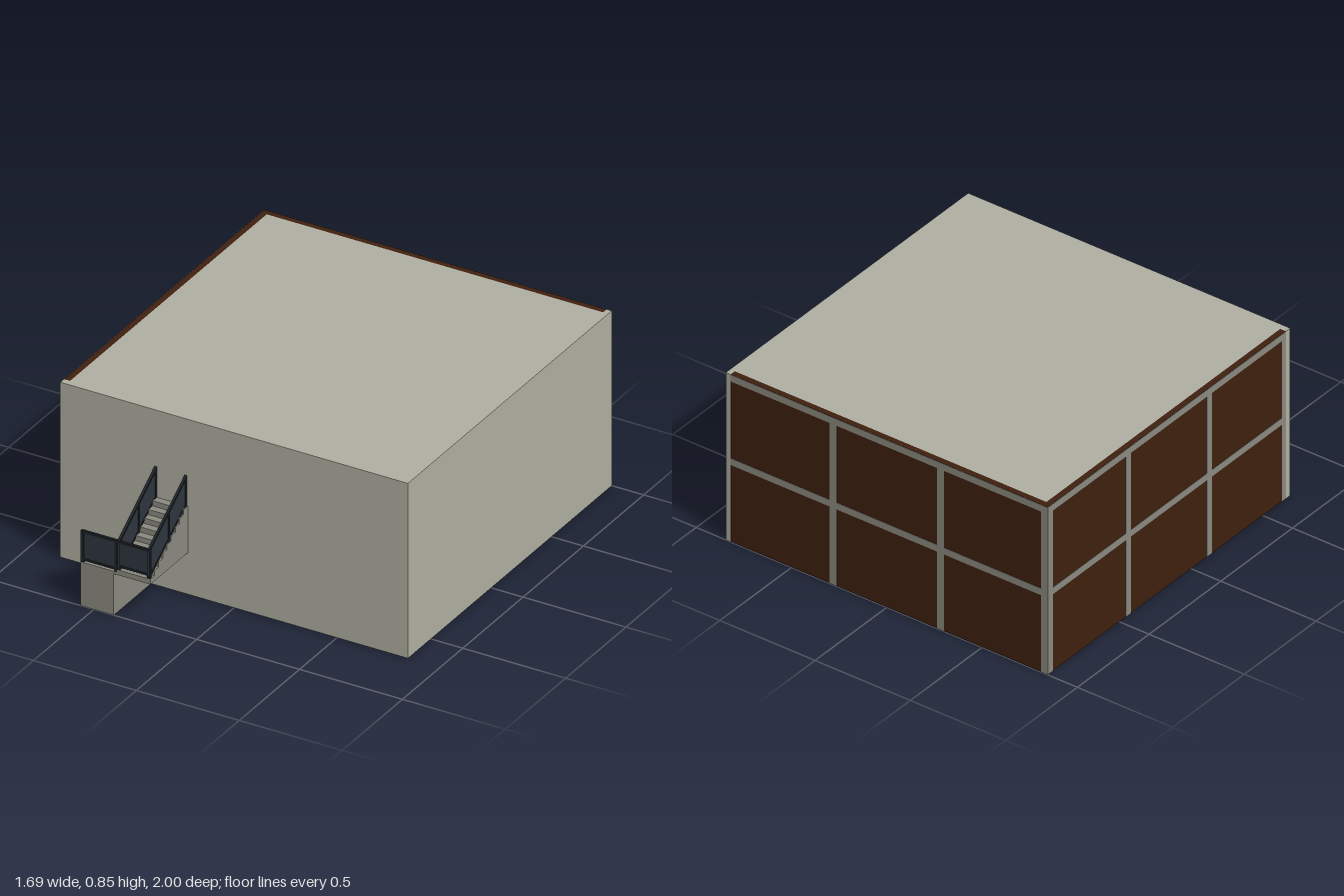
import * as THREE from 'three';

const mat = (name, color) => {
  const m = new THREE.MeshStandardMaterial({ color });
  m.name = name;
  return m;
};

export function createModel() {
  const plaster = mat('plaster', 0xb0afa2);
  const concrete = mat('concrete', 0x8b8a80);
  const timber = mat('timber', 0x3f200e);
  const glass = mat('rail panel', 0x2d353d);
  const metal = mat('rail metal', 0x1c2126);

  const model = new THREE.Group();
  const add = (parent, name, geometry, material) => {
    const mesh = new THREE.Mesh(geometry, material);
    mesh.name = name;
    parent.add(mesh);
    return mesh;
  };
  const group = (name) => {
    const g = new THREE.Group();
    g.name = name;
    model.add(g);
    return g;
  };
  // Box given by its two extremes on each axis
  const box = (parent, name, material, x0, x1, y0, y1, z0, z1) =>
    add(parent, name, new THREE.BoxGeometry(x1 - x0, y1 - y0, z1 - z0)
      .translate((x0 + x1) / 2, (y0 + y1) / 2, (z0 + z1) / 2), material);
  // Outline of [z, y] points, extruded along x from x0 to x1
  const sideExtrude = (parent, name, material, points, x0, x1) => {
    const shape = new THREE.Shape(points.map(([z, y]) => new THREE.Vector2(-z, y)));
    const geometry = new THREE.ExtrudeGeometry(shape, { depth: x1 - x0, bevelEnabled: false });
    geometry.rotateY(Math.PI / 2).translate(x0, 0, 0);
    return add(parent, name, geometry, material);
  };

  // Hollow building, open underneath
  const W = 0.845, H = 0.845, T = 0.03, FRONT = 0.69, BACK = -1, SKIN = 0.002;
  const hall = group('building');
  box(hall, 'frontWall', plaster, -W, W, 0, H, FRONT - T, FRONT);
  box(hall, 'leftWall', plaster, W - T + 0.005, W, 0, H, BACK, FRONT - T);
  box(hall, 'roof', plaster, -W + T, W - T + 0.005, H - T, H, BACK + T, FRONT - T);
  box(hall, 'backPanelWall', timber, -W + SKIN, W - T + 0.005, 0, H, BACK + SKIN, BACK + T);
  box(hall, 'rightPanelWall', timber, -W + SKIN, -W + T, 0, H, BACK + T, FRONT - T);

  // Frame bars on the two panelled walls: 3 bays by 2 rows
  const frame = group('wallFrame');
  const bar = 0.036, top = H - 0.001;
  const third = 2 * W / 3;
  for (let i = 0; i <= 3; i++) {
    const x = THREE.MathUtils.clamp(-W + i * third, -W + bar / 2, W - bar / 2);
    if (i < 3) box(frame, 'backPost', concrete, x - bar / 2, x + bar / 2, 0, top, BACK, BACK + 0.008);
    const z = THREE.MathUtils.clamp(BACK + i * third, BACK + bar / 2, FRONT - T - bar / 2 + 0.01);
    box(frame, 'rightPost', concrete, -W, -W + 0.008, 0, top, z - bar / 2, Math.min(z + bar / 2, FRONT - T));
  }
  for (const [y0, y1] of [[0.388, 0.422], [top - 0.034, top]]) {
    box(frame, 'backBeam', concrete, -W, W - T + 0.005, y0, y1, BACK, BACK + 0.008);
    box(frame, 'rightBeam', concrete, -W, -W + 0.008, y0, y1, BACK, FRONT - T);
  }

  // Solid flights: dir +1 climbs away from the wall, -1 climbs toward it
  const stairs = group('staircase');
  const STEPS = 9, END = 1, RUN = (END - FRONT) / STEPS;
  const flight = (name, x0, x1, base, rise, dir) => {
    const start = dir > 0 ? FRONT : END;
    const points = [[start, base]];
    for (let i = 0; i < STEPS; i++) {
      points.push([start + dir * i * RUN, base + (i + 1) * rise]);
      points.push([start + dir * (i + 1) * RUN, base + (i + 1) * rise]);
    }
    points.push([start + dir * STEPS * RUN, base]);
    sideExtrude(stairs, name, concrete, points, x0, x1);
  };
  flight('lowerFlight', -0.565, -0.403, 0, 0.0232, 1);
  flight('upperFlight', -0.388, -0.225, 0.2, 0.025, -1);
  box(stairs, 'landing', concrete, -0.565, -0.388, 0.2, 0.212, 0.835, END);

  // Sloped railing in the z-y plane: panel, handrail, bottom rail and posts
  const railing = group('railings');
  const slopedRail = (name, x, z0, y0, z1, y1, posts) => {
    const strip = (part, material, low, high, half) => sideExtrude(railing, name + part, material,
      [[z0, y0 + low], [z1, y1 + low], [z1, y1 + high], [z0, y0 + high]], x - half, x + half);
    strip('Panel', glass, 0.008, 0.13, 0.003);
    strip('Handrail', metal, 0.128, 0.14, 0.006);
    strip('BottomRail', metal, 0, 0.01, 0.005);
    for (const z of posts) {
      const y = THREE.MathUtils.mapLinear(z, z0, z1, y0, y1);
      box(railing, name + 'Post', metal, x - 0.006, x + 0.006, y - 0.012, y + 0.135, z - 0.006, z + 0.006);
    }
  };
  const near = FRONT + 0.007, far = END - 0.007, mid = 0.838;
  slopedRail('upperInner', -0.38, FRONT, 0.433, END, 0.225, [near, mid, far]);
  slopedRail('upperOuter', -0.234, FRONT, 0.433, END, 0.225, [near, mid, far]);
  slopedRail('lowerOuter', -0.557, FRONT, 0.018, END, 0.222, [near, mid, far]);
  slopedRail('lowerInner', -0.411, FRONT, 0.018, mid, 0.115, [near, mid]);

  // Level railing across the front of the landing and first step
  const z0 = END - 0.012;
  for (const [x0, x1, y] of [[-0.563, -0.394, 0.222], [-0.394, -0.228, 0.238]]) {
    box(railing, 'frontPanel', glass, x0, x1, y + 0.008, 0.355, z0 + 0.003, z0 + 0.009);
    box(railing, 'frontBottomRail', metal, x0, x1, y, y + 0.01, z0 + 0.001, z0 + 0.011);
    box(railing, 'frontHandrail', metal, x0, x1, 0.353, 0.365, z0, END);
  }
  for (const x of [-0.557, -0.394, -0.234])
    box(railing, 'frontPost', metal, x - 0.007, x + 0.007, 0.21, 0.364, z0, END - 0.001);

  return model;
}
